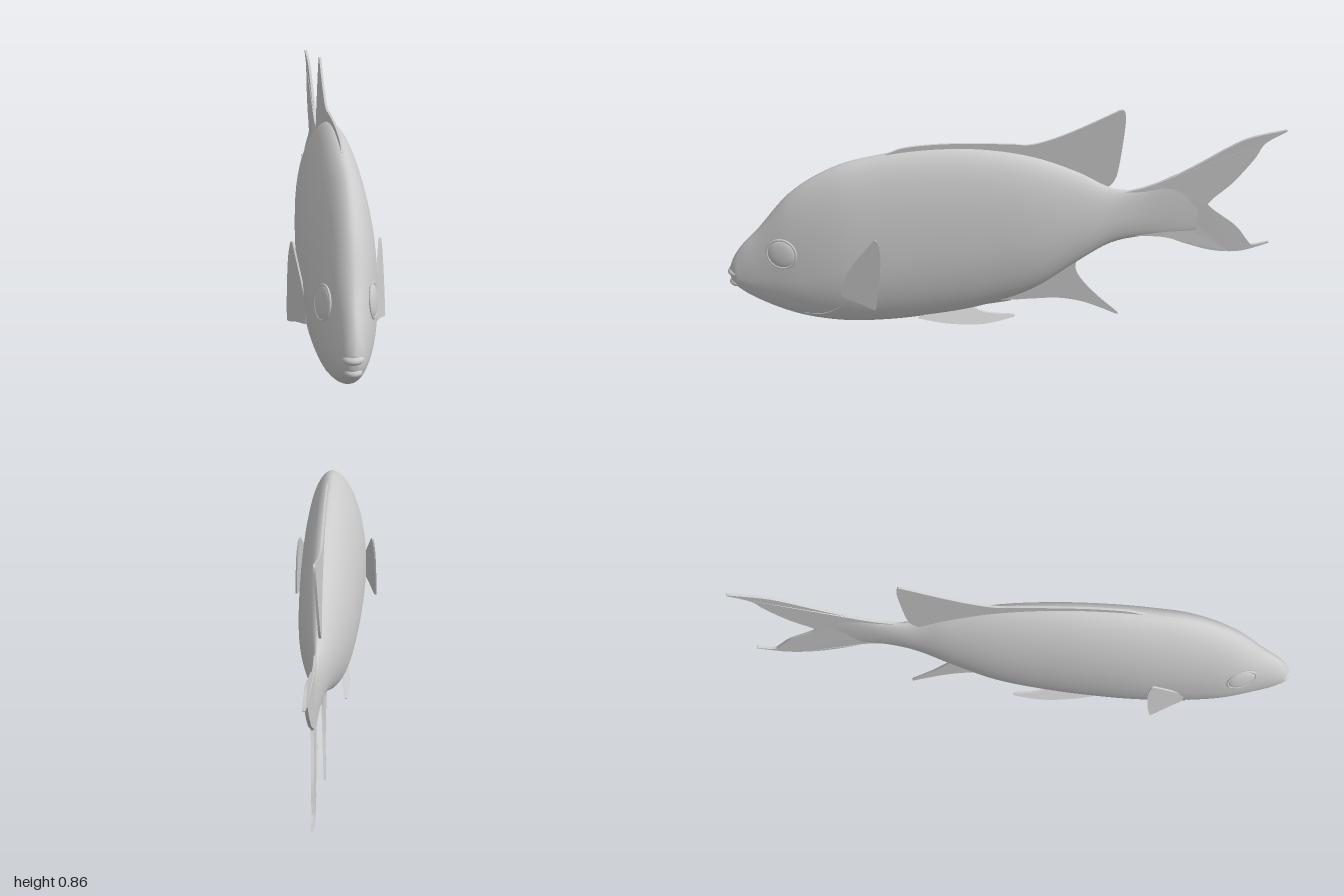
import * as THREE from 'three';

const mat = new THREE.MeshStandardMaterial({ color: 0xcccccc, side: THREE.DoubleSide });

// Body stations: z, top, bottom, half width, height of widest point, centre x
const stations = [
  [-0.70, 0.56, 0.36, 0.003, 0.46, 0.048],
  [-0.58, 0.56, 0.35, 0.011, 0.45, 0.046],
  [-0.48, 0.54, 0.345, 0.02, 0.44, 0.043],
  [-0.38, 0.552, 0.325, 0.038, 0.435, 0.038],
  [-0.26, 0.62, 0.255, 0.068, 0.425, 0.031],
  [-0.10, 0.69, 0.15, 0.097, 0.4, 0.023],
  [0.10, 0.735, 0.085, 0.113, 0.385, 0.014],
  [0.30, 0.742, 0.057, 0.121, 0.37, 0.006],
  [0.45, 0.726, 0.05, 0.122, 0.35, 0.002],
  [0.60, 0.69, 0.06, 0.116, 0.32, 0],
  [0.76, 0.592, 0.098, 0.094, 0.29, -0.007],
  [0.88, 0.455, 0.155, 0.063, 0.275, -0.012],
  [0.95, 0.38, 0.203, 0.042, 0.272, -0.015],
  [0.978, 0.335, 0.232, 0.029, 0.273, -0.015],
  [0.99, 0.305, 0.25, 0.014, 0.275, -0.015],
];
const spline = new THREE.CubicInterpolant(
  stations.map(s => s[0]), stations.flatMap(s => s.slice(1)), 5, new Float32Array(5));

// Point on the body at a station and an angle round the section (0 = left side, 90 deg = back)
function skin(z, angle) {
  const [top, bottom, w, mid, cx] = spline.evaluate(z);
  const c = Math.cos(angle), s = Math.sin(angle);
  const lean = s > 0 ? 0.17 * w * s * s : 0;
  return new THREE.Vector3(
    cx + lean + w * Math.sign(c) * Math.abs(c) ** (s > 0 ? 1.12 : 1),
    mid + s * (s > 0 ? top - mid : mid - bottom), z);
}

// Point on the flank at a given height
function flank(side, z, y) {
  const [top, bottom, , mid] = spline.evaluate(z);
  const a = Math.asin(THREE.MathUtils.clamp((y - mid) / (y > mid ? top - mid : mid - bottom), -1, 1));
  return skin(z, side > 0 ? a : Math.PI - a);
}

function bodyGeometry(rings = 90, sides = 56) {
  const pos = [], index = [];
  for (let i = 0; i <= rings; i++) {
    const t = i / rings, z = -0.70 + 1.69 * (1 - (1 - t) ** 1.6);
    for (let j = 0; j < sides; j++) pos.push(...skin(z, j / sides * Math.PI * 2).toArray());
  }
  for (let i = 0; i < rings; i++) for (let j = 0; j < sides; j++) {
    const a = i * sides + j, b = i * sides + (j + 1) % sides;
    index.push(a, b, a + sides, b, b + sides, a + sides);
  }
  // Nose cap
  const last = rings * sides, tip = pos.length / 3;
  pos.push(-0.015, 0.276, 0.993);
  for (let j = 0; j < sides; j++) index.push(last + j, last + (j + 1) % sides, tip);
  const g = new THREE.BufferGeometry();
  g.setAttribute('position', new THREE.Float32BufferAttribute(pos, 3));
  g.setIndex(index);
  g.computeVertexNormals();
  return g;
}

// Thin fin: smooth runs of [z, y] points meeting at corners; place(z, y) gives its x
function finGeometry(runs, place, thickness = 0.008) {
  const shape = new THREE.Shape();
  shape.moveTo(...runs[0][0]);
  runs.forEach((run, k) => {
    const pts = (k ? run : run.slice(1)).map(p => new THREE.Vector2(...p));
    if (pts.length === 1) shape.lineTo(pts[0].x, pts[0].y);
    else shape.splineThru(pts);
  });
  const g = new THREE.ExtrudeGeometry(shape, { depth: thickness, bevelEnabled: false, curveSegments: 8 });
  g.translate(0, 0, -thickness / 2).rotateY(-Math.PI / 2);
  const p = g.attributes.position;
  for (let i = 0; i < p.count; i++) p.setX(i, p.getX(i) + place(p.getZ(i), p.getY(i)));
  g.computeVertexNormals();
  return g;
}

export function createModel() {
  const fish = new THREE.Group();
  fish.name = 'fish';
  const add = (name, geometry, parent = fish) => {
    const m = new THREE.Mesh(geometry, mat);
    m.name = name;
    parent.add(m);
    return m;
  };

  add('body', bodyGeometry());

  // Dorsal fin: low crest rising to a tall rear point
  add('dorsalFin', finGeometry([
    [[0.45, 0.715], [0.40, 0.738], [0.34, 0.755], [0.2, 0.76], [0, 0.748], [-0.08, 0.74], [-0.16, 0.757], [-0.26, 0.795], [-0.395, 0.857]],
    [[-0.41, 0.85], [-0.414, 0.79], [-0.40, 0.63], [-0.385, 0.575], [-0.36, 0.55]],
    [[-0.33, 0.53]], [[-0.1, 0.65]], [[0.3, 0.70]],
  ], (z, y) => 0.034 - 0.02 * z + (y - 0.7) * 0.05));

  // Forked tail
  add('tailFin', finGeometry([
    [[-0.42, 0.535], [-0.5, 0.55], [-0.58, 0.578], [-0.69, 0.633], [-0.8, 0.695], [-0.876, 0.727], [-0.998, 0.748]],
    [[-0.995, 0.74], [-0.925, 0.7], [-0.89, 0.638], [-0.82, 0.547], [-0.745, 0.478], [-0.748, 0.45], [-0.85, 0.365], [-0.9, 0.3], [-0.925, 0.275], [-0.985, 0.283]],
    [[-0.98, 0.276], [-0.876, 0.252], [-0.77, 0.264], [-0.67, 0.3], [-0.58, 0.338], [-0.48, 0.35]],
    [[-0.42, 0.36]],
  ], (z, y) => 0.047 + (y - 0.45) * 0.04 * (-z > 0.6 ? 1 : 0.3), 0.01));

  // Anal fin
  add('analFin', finGeometry([
    [[0.06, 0.115], [0, 0.103], [-0.1, 0.1], [-0.2, 0.094], [-0.3, 0.064], [-0.42, 0]],
    [[-0.425, 0.008], [-0.34, 0.097], [-0.276, 0.18], [-0.256, 0.235], [-0.27, 0.28]],
    [[-0.15, 0.25]], [[0, 0.16]],
  ], (z, y) => 0.02 + 0.06 * y));

  for (const side of [1, -1]) {
    const label = side > 0 ? 'left' : 'right';

    // Pectoral fin, splayed from the flank
    add(label + 'PectoralFin', finGeometry([
      [[0.61, 0.275], [0.55, 0.36], [0.475, 0.46]],
      [[0.464, 0.45], [0.459, 0.39], [0.47, 0.28], [0.485, 0.19]],
      [[0.5, 0.19], [0.55, 0.21], [0.6, 0.225]],
    ], (z, y) => side * (0.358 - 0.372 * z - 0.087 * y), 0.006));

    // Pelvic fin, swept back under the belly
    add(label + 'PelvicFin', finGeometry([
      [[0.33, 0.066], [0.22, 0.043], [0.09, 0.034], [-0.025, 0.049]],
      [[-0.02, 0.056], [0.06, 0.065], [0.11, 0.08], [0.14, 0.105]],
      [[0.25, 0.10]],
    ], (z, y) => 0.006 + side * (0.042 + (0.07 - y) * 0.65)));

    // Eye set flush into the head, with a raised rim
    const eye = new THREE.Group();
    eye.name = label + 'Eye';
    const at = flank(side, 0.8, 0.39);
    const along = flank(side, 0.83, 0.39).sub(flank(side, 0.77, 0.39));
    const up = flank(side, 0.8, 0.42).sub(flank(side, 0.8, 0.36));
    const out = up.cross(along).multiplyScalar(side).normalize();
    eye.position.copy(at);
    eye.quaternion.setFromUnitVectors(new THREE.Vector3(0, 0, 1), out);
    add('eyeball', new THREE.SphereGeometry(0.05, 32, 20), eye).scale.z = 0.2;
    add('eyeRim', new THREE.TorusGeometry(0.053, 0.005, 8, 40), eye).scale.z = 0.8;
    fish.add(eye);

    // Edge of the gill cover, lying on the skin
    const edge = [[0.575, 0.25], [0.585, 0.205], [0.62, 0.16], [0.67, 0.13], [0.74, 0.125]]
      .map(([z, y]) => flank(side, z, y).add(new THREE.Vector3(-side * 0.002, 0, 0)));
    add(label + 'GillEdge', new THREE.TubeGeometry(new THREE.CatmullRomCurve3(edge), 32, 0.004, 8));
  }

  // Lips
  for (const [name, y, z, w] of [['upperLip', 0.286, 0.971, 0.033], ['lowerLip', 0.244, 0.968, 0.029]]) {
    const lip = add(name, new THREE.SphereGeometry(1, 28, 16));
    lip.scale.set(w, 0.017, 0.029);
    lip.position.set(-0.015, y, z);
  }
  return fish;
}
